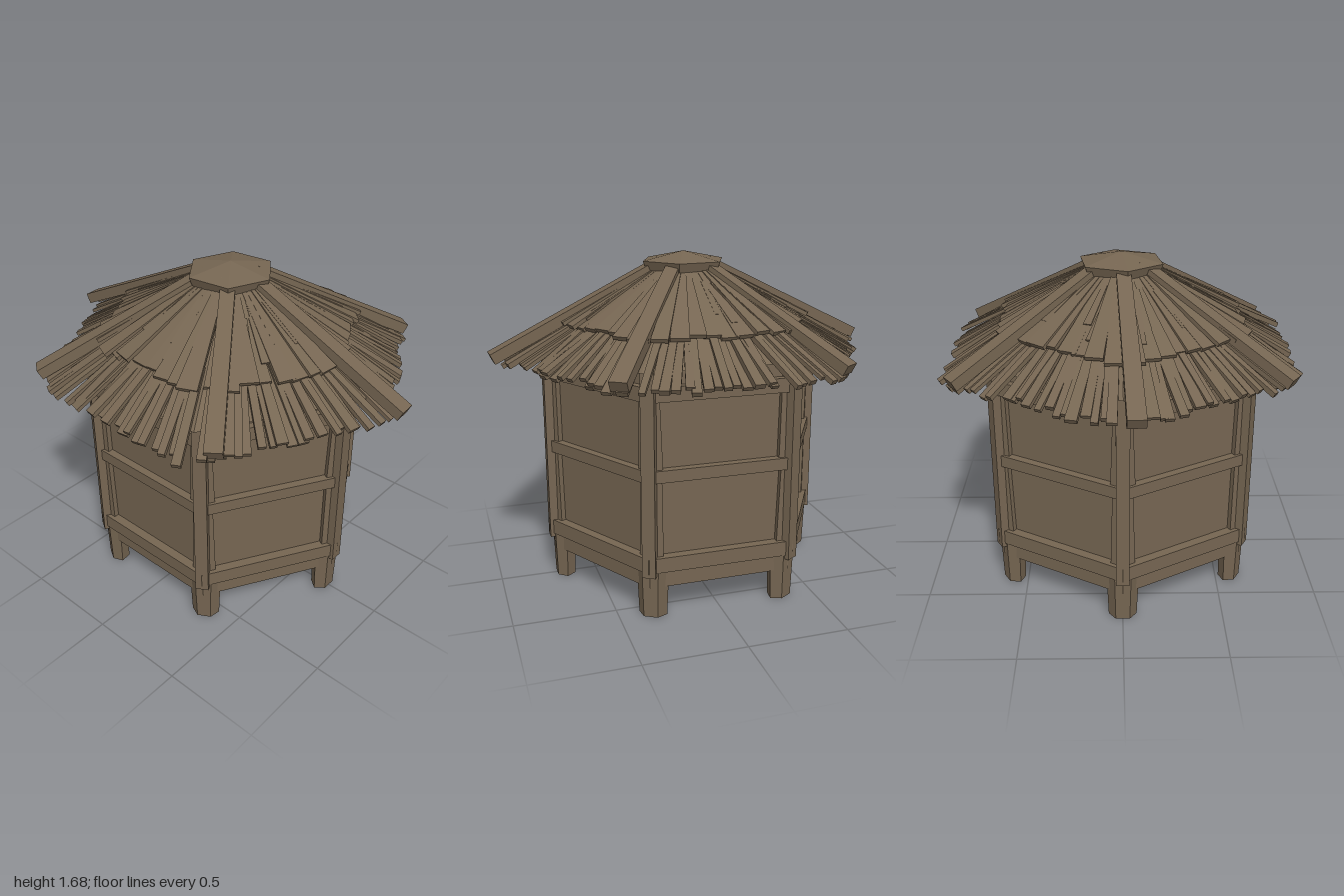
import * as THREE from 'three';
import { mergeGeometries } from 'three/addons/utils/BufferGeometryUtils.js';

const V = (x, y, z) => new THREE.Vector3(x, y, z);

// Small seeded random generator, returns -1..1
function seeded(seed) {
  return () => {
    seed = (seed * 16807) % 2147483647;
    return (seed / 2147483647) * 2 - 1;
  };
}

// Tapered board from point a to point b
function board(a, b, wa, wb, thick, up = V(0, 1, 0)) {
  const geo = new THREE.BoxGeometry(1, 1, 1);
  const dir = b.clone().sub(a).normalize();
  const side = up.clone().cross(dir).normalize();
  const top = dir.clone().cross(side);
  const pos = geo.attributes.position;
  for (let i = 0; i < pos.count; i++) {
    const f = pos.getZ(i) + 0.5;
    const p = a.clone().lerp(b, f)
      .addScaledVector(side, pos.getX(i) * (wa + (wb - wa) * f))
      .addScaledVector(top, pos.getY(i) * thick);
    pos.setXYZ(i, p.x, p.y, p.z);
  }
  geo.computeVertexNormals();
  return geo;
}

// Hexagonal ring (or solid slab when inner is 0) with corners on the x axis
function hexRing(outer, inner, y0, y1) {
  const corners = (r) => Array.from({ length: 6 }, (_, i) =>
    new THREE.Vector2(r * Math.cos(i * Math.PI / 3), r * Math.sin(i * Math.PI / 3)));
  const shape = new THREE.Shape(corners(outer));
  if (inner) shape.holes.push(new THREE.Path(corners(inner)));
  const geo = new THREE.ExtrudeGeometry(shape, { depth: y1 - y0, bevelEnabled: false });
  return geo.rotateX(-Math.PI / 2).translate(0, y0, 0);
}

// Point on roof side k: a = distance out from the axis, t = -1..1 along the side
function sidePoint(k, a, t, y) {
  const ang = Math.PI / 6 + k * Math.PI / 3;
  const s = t * a * Math.tan(Math.PI / 6);
  return V(a * Math.cos(ang) - s * Math.sin(ang), y, a * Math.sin(ang) + s * Math.cos(ang));
}

export function createModel() {
  const group = new THREE.Group();
  const wood = new THREE.MeshStandardMaterial({ color: 0x766652, flatShading: true });
  wood.name = 'weathered wood';
  const lining = new THREE.MeshStandardMaterial({ color: 0x766652, flatShading: true, side: THREE.DoubleSide });
  lining.name = 'weathered wood lining';
  const rnd = seeded(4711);
  const add = (name, geo, mat = wood) => {
    const mesh = new THREE.Mesh(geo, mat);
    mesh.name = name;
    group.add(mesh);
    return mesh;
  };

  // Floor, walls and horizontal beams
  add('floor', hexRing(0.7, 0, 0.16, 0.2));
  add('wallPanels', hexRing(0.685, 0.66, 0.18, 1.26));
  add('baseBeam', hexRing(0.715, 0.64, 0.155, 0.245));
  add('sillBeam', hexRing(0.74, 0.65, 0.24, 0.315));
  add('middleRail', hexRing(0.732, 0.65, 0.69, 0.75));
  add('topBeam', hexRing(0.728, 0.65, 1.075, 1.145));

  // Corner posts with wider feet
  for (let i = 0; i < 6; i++) {
    const post = new THREE.Group();
    post.name = 'cornerPost';
    post.rotation.y = i * Math.PI / 3;
    const upper = new THREE.Mesh(
      new THREE.BoxGeometry(0.1, 1.0, 0.065).translate(0.688, 0.72, 0), wood);
    upper.name = 'postShaft';
    const leg = new THREE.Mesh(
      new THREE.CylinderGeometry(0.08, 0.07, 0.24, 6).scale(0.75, 1, 1).translate(0.662, 0.12, 0), wood);
    leg.name = 'leg';
    post.add(upper, leg);
    group.add(post);
  }

  // Upright battens beside the posts
  const battens = [];
  for (let k = 0; k < 6; k++) {
    for (const s of [-1, 1]) {
      for (const [y0, y1] of [[0.3, 0.7], [0.74, 1.09]]) {
        const out = sidePoint(k, 1, 0, 0);
        battens.push(board(sidePoint(k, 0.602, s * 0.89, y0),
          sidePoint(k, 0.602, s * (0.9 + rnd() * 0.02), y1), 0.04, 0.03, 0.035, out));
      }
    }
  }
  add('battens', mergeGeometries(battens));

  // Roof lining under the thatch
  const profile = [[0.15, 1.585], [0.5, 1.41], [0.82, 1.235]].map(([r, y]) => new THREE.Vector2(r, y));
  add('roofLining', new THREE.LatheGeometry(profile, 6, Math.PI / 2), lining);

  // Two overlapping layers of roof strips on each side
  for (let k = 0; k < 6; k++) {
    const lower = [], upper = [];
    const n = 19;
    for (let i = 0; i < n; i++) {
      const t = ((i + 0.5) / n * 2 - 1) * 0.95 + rnd() * 0.02;
      const end = 0.845 + rnd() * 0.025;
      lower.push(board(sidePoint(k, 0.48, t * 0.97, 1.395 + rnd() * 0.01),
        sidePoint(k, end, t + rnd() * 0.035, 1.172 + rnd() * 0.016),
        0.038, 0.044 + rnd() * 0.014, 0.022 + rnd() * 0.005));
    }
    const m = 8;
    for (let i = 0; i < m; i++) {
      const t = ((i + 0.5) / m * 2 - 1) * 0.93;
      upper.push(board(sidePoint(k, 0.13, t, 1.612),
        sidePoint(k, 0.6 + rnd() * 0.015, t + rnd() * 0.05, 1.35 + rnd() * 0.01),
        0.03, 0.095 + rnd() * 0.015, 0.02));
    }
    // Loose slats lying on top
    for (let i = 0; i < 5; i++) {
      const t = rnd() * 0.75, a = 0.22 + Math.abs(rnd()) * 0.1;
      upper.push(board(sidePoint(k, a, t, 1.692 - 0.57 * a),
        sidePoint(k, a + 0.22, t + rnd() * 0.12, 1.692 - 0.57 * (a + 0.22)),
        0.025, 0.04, 0.015));
    }
    add('lowerThatch', mergeGeometries(lower));
    add('upperThatch', mergeGeometries(upper));
  }

  // Six ridge poles, slightly uneven
  const ridgeEnds = [[0.99, -0.065], [0.53, -0.79], [-0.55, -0.79], [-0.99, 0.055], [-0.55, 0.79], [0.56, 0.75]];
  for (const [x, z] of ridgeEnds) {
    const r = Math.hypot(x, z);
    add('ridgePole', board(V(x / r * 0.12, 1.63, z / r * 0.12), V(x, 1.205, z), 0.07, 0.085, 0.055));
  }

  // Faceted roof cap
  const cap = [[0, 1.595], [0.205, 1.595], [0.222, 1.64], [0, 1.685]].map(([r, y]) => new THREE.Vector2(r, y));
  add('roofCap', new THREE.LatheGeometry(cap, 6, Math.PI / 2 + 0.14));

  return group;
}
